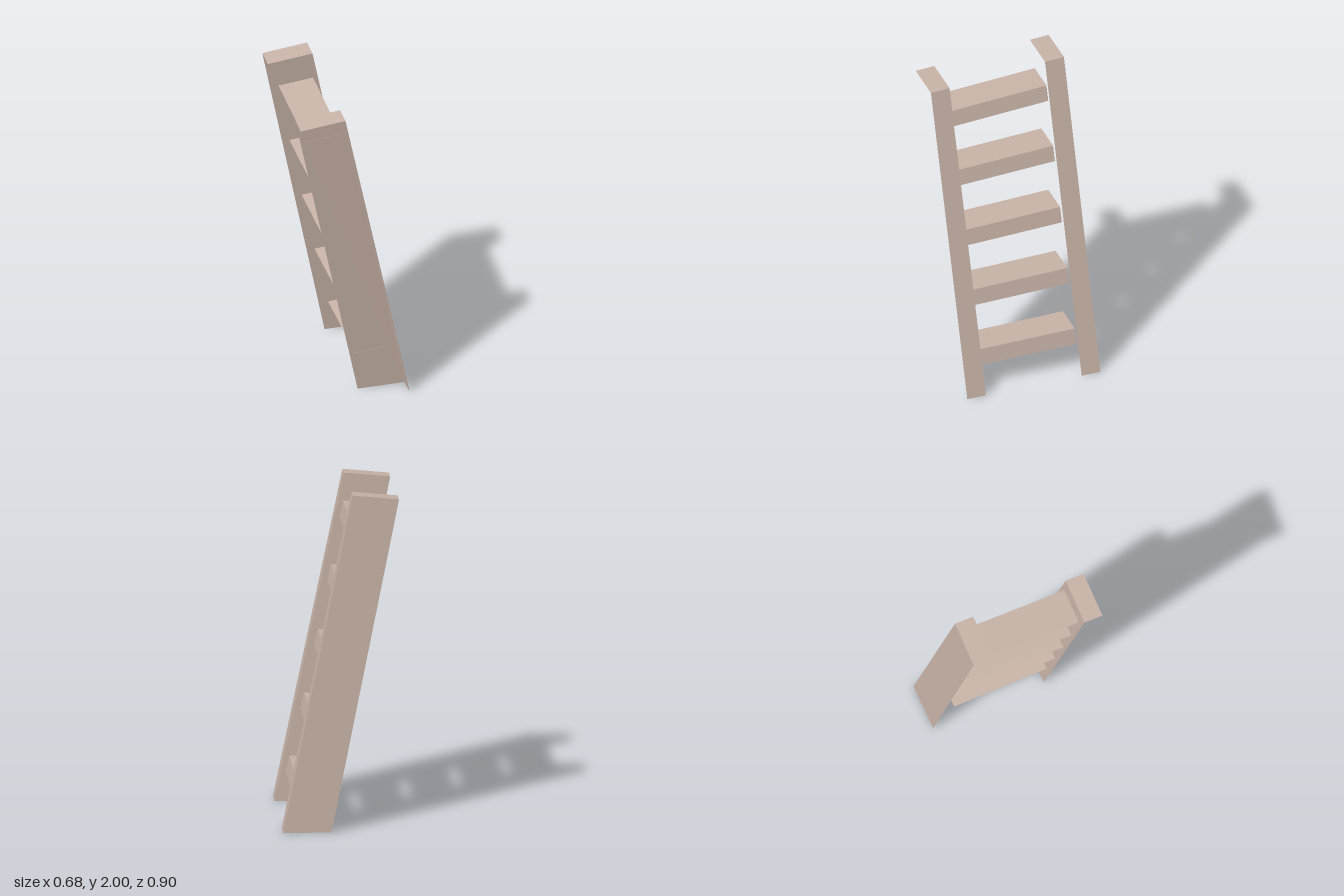
import * as THREE from 'three';

const wood = new THREE.MeshStandardMaterial({ color: 0xc8b3a7, side: THREE.DoubleSide });
wood.name = 'paleWood';

// flat four-cornered panel, corners counter-clockwise from outside
function panel(name, a, b, c, d) {
  const g = new THREE.BufferGeometry();
  g.setAttribute('position', new THREE.Float32BufferAttribute([a, b, c, a, c, d].flat(), 3));
  g.computeVertexNormals();
  const mesh = new THREE.Mesh(g, wood);
  mesh.name = name;
  return mesh;
}

// leaning rail: wide back web, narrow edge strip and top cap, open on the other sides
function rail(name, topY, footZ, topZ) {
  const group = new THREE.Group();
  group.name = name;
  const [f0, f1] = footZ, [t0, t1] = topZ; // back and front z
  const footIn = [0.058, 0, f0], footOut = [0.34, 0, f0], footFront = [0.34, 0, f1];
  const topIn = [-0.34, topY - 0.028, t0], topOut = [-0.07, topY, t0];
  const capOut = [-0.07, topY - 0.008, t1], capIn = [-0.34, topY - 0.036, t1];
  group.add(
    panel('railWeb', footOut, footIn, topIn, topOut),
    panel('railEdge', footFront, footOut, topOut, capOut),
    panel('railCap', capIn, capOut, topOut, topIn)
  );
  return group;
}

// open step: a sloping tread and a face hanging from its outer edge
function step(x, yFront, yBack, zFront, zBack, faceHeight) {
  const group = new THREE.Group();
  group.name = 'step';
  const inX = x - 0.208, lowX = x + 0.021, drop = 0.02;
  const frontOut = [x, yFront, zFront], backOut = [x, yBack, zBack];
  group.add(
    panel('tread', [inX, yFront - drop, zFront], frontOut, backOut, [inX, yBack - drop, zBack]),
    panel('stepFace', [lowX, yFront - faceHeight, zFront - 0.004],
      [lowX, yBack - faceHeight, zBack - 0.004], backOut, frontOut)
  );
  return group;
}

export function createModel() {
  const ladder = new THREE.Group();
  ladder.name = 'ladder';
  ladder.add(
    rail('frontRail', 1.945, [0.252, 0.366], [0.333, 0.447]),
    rail('backRail', 2.0, [-0.45, -0.336], [-0.369, -0.253])
  );

  // steps from top to bottom: outer x, front y, back y, front z, back z
  const steps = [
    [-0.065, 1.78, 1.825, 0.328, -0.26],
    [0.006, 1.402, 1.437, 0.31, -0.276],
    [0.083, 1.02, 1.046, 0.294, -0.292],
    [0.165, 0.643, 0.66, 0.279, -0.308],
    [0.251, 0.271, 0.281, 0.265, -0.324]
  ];
  for (const s of steps) ladder.add(step(...s, 0.097));
  return ladder;
}
